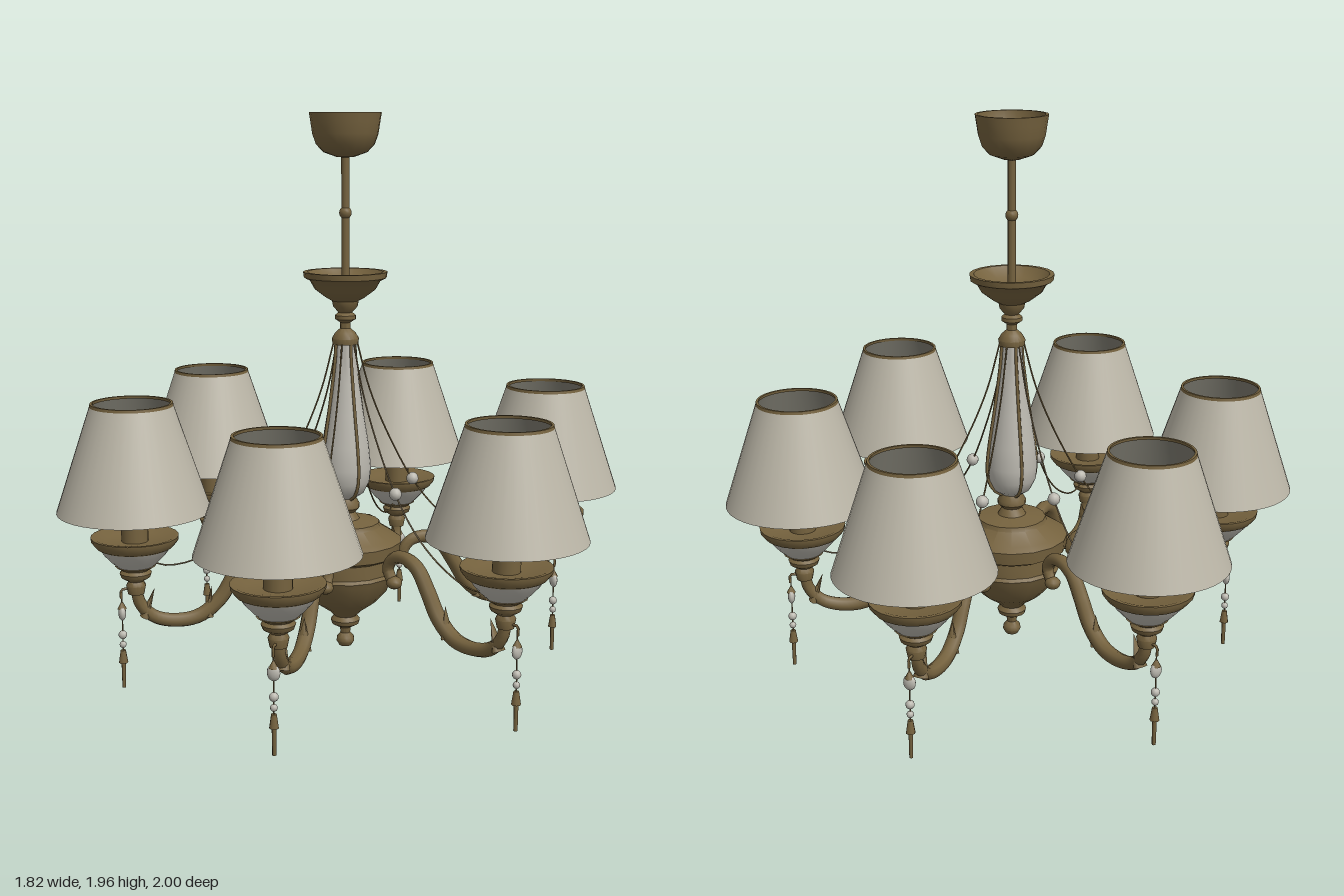
import * as THREE from 'three';
import { toCreasedNormals } from 'three/addons/utils/BufferGeometryUtils.js';

const mat = (name, color, side = THREE.FrontSide) => {
  const m = new THREE.MeshStandardMaterial({ color, side });
  m.name = name;
  return m;
};
const bronze = mat('aged bronze', 0x75623e, THREE.DoubleSide);
const fabric = mat('linen shade', 0xbcb7a8);
const lining = mat('shade lining', 0x7f7d72, THREE.BackSide);
const porcelain = mat('porcelain', 0xbcb9b0);

const add = (parent, name, geometry, material, x = 0, y = 0, z = 0) => {
  const mesh = new THREE.Mesh(geometry, material);
  mesh.name = name;
  mesh.position.set(x, y, z);
  parent.add(mesh);
  return mesh;
};

// Turned profile, listed from bottom to top as [radius, height]
const turned = (points, sides = 20) => toCreasedNormals(
  new THREE.LatheGeometry(points.map(([r, y]) => new THREE.Vector2(r, y)), sides), 0.7);

const curve = (points) => new THREE.CatmullRomCurve3(points.map(([x, y]) => new THREE.Vector3(x, y, 0)));

// Tube whose thickness follows a function of the distance along it
const taperedTube = (path, steps, sides, radiusAt) => {
  const geo = new THREE.TubeGeometry(path, steps, 1, sides);
  const pos = geo.attributes.position, v = new THREE.Vector3();
  for (let i = 0; i <= steps; i++) {
    const c = path.getPointAt(i / steps), r = radiusAt(i / steps);
    for (let j = 0; j <= sides; j++) {
      const k = i * (sides + 1) + j;
      v.fromBufferAttribute(pos, k).sub(c).multiplyScalar(r).add(c);
      pos.setXYZ(k, v.x, v.y, v.z);
    }
  }
  geo.computeBoundingSphere();
  return geo;
};

const vaseProfile = [[0.035, 0.63], [0.065, 0.65], [0.085, 0.69], [0.09, 0.74], [0.082, 0.82],
  [0.064, 0.93], [0.048, 1.04], [0.038, 1.12], [0.034, 1.18]];

function createStem() {
  const stem = new THREE.Group();
  stem.name = 'stem';
  // Lower body with finial
  add(stem, 'body', turned([[0, 0.085], [0.022, 0.088], [0.032, 0.105], [0.03, 0.12], [0.017, 0.135],
    [0.02, 0.155], [0.048, 0.17], [0.052, 0.185], [0.04, 0.2], [0.06, 0.22], [0.11, 0.255], [0.15, 0.3],
    [0.168, 0.345], [0.175, 0.36], [0.165, 0.37], [0.165, 0.42], [0.195, 0.435], [0.2, 0.48], [0.18, 0.495],
    [0.125, 0.53], [0.12, 0.545], [0.05, 0.555], [0.035, 0.58], [0.05, 0.595], [0.05, 0.61], [0.035, 0.635],
    [0, 0.64]], 16), bronze);
  add(stem, 'vase', turned(vaseProfile, 24), porcelain);
  // Bronze ribs over the vase
  const ribPath = curve(vaseProfile.map(([r, y]) => [r + 0.003, y]));
  const ribGeo = new THREE.TubeGeometry(ribPath, 20, 0.006, 6);
  for (let i = 0; i < 4; i++) {
    add(stem, 'vaseRib', ribGeo, bronze).rotation.y = Math.PI / 4 + i * Math.PI / 2;
  }
  // Neck and open dish
  add(stem, 'neckAndDish', turned([[0, 1.17], [0.044, 1.175], [0.047, 1.195], [0.035, 1.215], [0.018, 1.23],
    [0.018, 1.25], [0.036, 1.262], [0.036, 1.275], [0.024, 1.285], [0.042, 1.305], [0.046, 1.325],
    [0.065, 1.335], [0.105, 1.365], [0.122, 1.395], [0.142, 1.405], [0.145, 1.425], [0.13, 1.425],
    [0.1, 1.39], [0, 1.37]]), bronze);
  add(stem, 'rod', new THREE.CylinderGeometry(0.014, 0.014, 0.47, 10), bronze, 0, 1.6);
  add(stem, 'rodBead', new THREE.SphereGeometry(0.022, 12, 8), bronze, 0, 1.625);
  // Ceiling cup, open at the top
  add(stem, 'ceilingCup', turned([[0, 1.81], [0.03, 1.812], [0.075, 1.828], [0.1, 1.855], [0.112, 1.89],
    [0.118, 1.93], [0.123, 1.96], [0.113, 1.96], [0.1, 1.88], [0.07, 1.845], [0, 1.83]]), bronze);
  return stem;
}

function createPendant() {
  const pendant = new THREE.Group();
  pendant.name = 'pendant';
  const hook = curve([[-0.055, 0.33], [-0.03, 0.35], [0, 0.35], [0.002, 0.32]]);
  add(pendant, 'pendantHook', new THREE.TubeGeometry(hook, 8, 0.005, 5), bronze);
  add(pendant, 'pendantWire', new THREE.CylinderGeometry(0.0025, 0.0025, 0.23, 5), bronze, 0, 0.225);
  add(pendant, 'pendantCap', new THREE.ConeGeometry(0.016, 0.03, 8), bronze, 0, 0.298);
  add(pendant, 'largeBead', new THREE.SphereGeometry(0.022, 12, 8), porcelain, 0, 0.268).scale.set(0.6, 1.2, 1);
  add(pendant, 'middleBead', new THREE.SphereGeometry(0.015, 10, 8), porcelain, 0, 0.19);
  add(pendant, 'smallBead', new THREE.SphereGeometry(0.012, 10, 8), porcelain, 0, 0.155);
  add(pendant, 'tasselCap', new THREE.CylinderGeometry(0.009, 0.016, 0.045, 8), bronze, 0, 0.112);
  add(pendant, 'tassel', new THREE.CylinderGeometry(0.008, 0.007, 0.092, 6), bronze, 0, 0.046);
  return pendant;
}

function createLamp() {
  const lamp = new THREE.Group();
  lamp.name = 'lamp';
  // Neck, conical porcelain cup and bronze saucer
  add(lamp, 'lampNeck', turned([[0, 0.33], [0.028, 0.335], [0.034, 0.365], [0.026, 0.38], [0.05, 0.395],
    [0.055, 0.41], [0.045, 0.42], [0.07, 0.435], [0, 0.44]], 16), bronze);
  add(lamp, 'lampCup', turned([[0.062, 0.434], [0.085, 0.455], [0.108, 0.48], [0.124, 0.505]], 24), porcelain);
  add(lamp, 'lampSaucer', turned([[0.122, 0.5], [0.132, 0.505], [0.148, 0.525], [0.15, 0.54], [0.138, 0.54],
    [0.1, 0.525], [0, 0.52]], 24), bronze);
  // Candle sleeve and bulb
  add(lamp, 'candleSleeve', new THREE.CylinderGeometry(0.046, 0.046, 0.25, 16), bronze, 0, 0.645);
  add(lamp, 'bulb', new THREE.SphereGeometry(0.048, 16, 12), porcelain, 0, 0.81).scale.y = 1.3;
  // Tapered shade with a darker lining and a thin top trim
  add(lamp, 'shade', new THREE.CylinderGeometry(0.138, 0.261, 0.37, 40, 1, true), fabric, 0, 0.815);
  add(lamp, 'shadeLining', new THREE.CylinderGeometry(0.135, 0.258, 0.37, 40, 1, true), lining, 0, 0.815);
  add(lamp, 'shadeTrim', turned([[0.141, 0.991], [0.139, 1.001], [0.131, 1.001], [0.133, 0.991]], 40), bronze);
  return lamp;
}

function createBranch() {
  const branch = new THREE.Group();
  branch.name = 'branch';
  // Scrolled arm, swelling in the lower bend and tapering to the curl
  const path = curve([[0.74, 0.36], [0.728, 0.3], [0.68, 0.248], [0.6, 0.228], [0.52, 0.24], [0.45, 0.295],
    [0.4, 0.375], [0.35, 0.445], [0.29, 0.47], [0.235, 0.455], [0.212, 0.415], [0.232, 0.375]]);
  add(branch, 'arm', taperedTube(path, 44, 8, (t) => 0.019 + 0.008 * Math.sin(Math.PI * t)), bronze);
  add(branch, 'armCurl', new THREE.SphereGeometry(0.028, 12, 8), bronze, 0.242, 0.372).scale.y = 0.8;
  // Leaves springing from the arm
  for (const [x, y, tilt] of [[0.485, 0.29, 0.1], [0.695, 0.3, 0.35]]) {
    const leaf = add(branch, 'armLeaf', new THREE.ConeGeometry(0.028, 0.11, 8), bronze, x, y);
    leaf.rotation.z = tilt;
    leaf.scale.x = 0.6;
  }
  // Draped wire with a bead
  const swag = curve([[0.7, 0.455], [0.65, 0.43], [0.57, 0.432], [0.46, 0.475], [0.35, 0.555], [0.25, 0.675],
    [0.15, 0.86], [0.085, 1.02], [0.042, 1.18]]);
  add(branch, 'swagWire', new THREE.TubeGeometry(swag, 32, 0.003, 5), bronze);
  add(branch, 'swagBead', new THREE.SphereGeometry(0.022, 12, 8), porcelain, 0.245, 0.685);

  const lamp = createLamp();
  lamp.position.x = 0.74;
  const pendant = createPendant();
  pendant.position.x = 0.79;
  branch.add(lamp, pendant);
  return branch;
}

export function createModel() {
  const model = new THREE.Group();
  model.name = 'chandelier';
  model.add(createStem());
  // Six branches around the stem
  const branch = createBranch();
  for (let i = 0; i < 6; i++) {
    const copy = branch.clone();
    copy.rotation.y = THREE.MathUtils.degToRad(28.7 + i * 60);
    model.add(copy);
  }
  model.position.set(0.003, 0, -0.006);
  return model;
}
